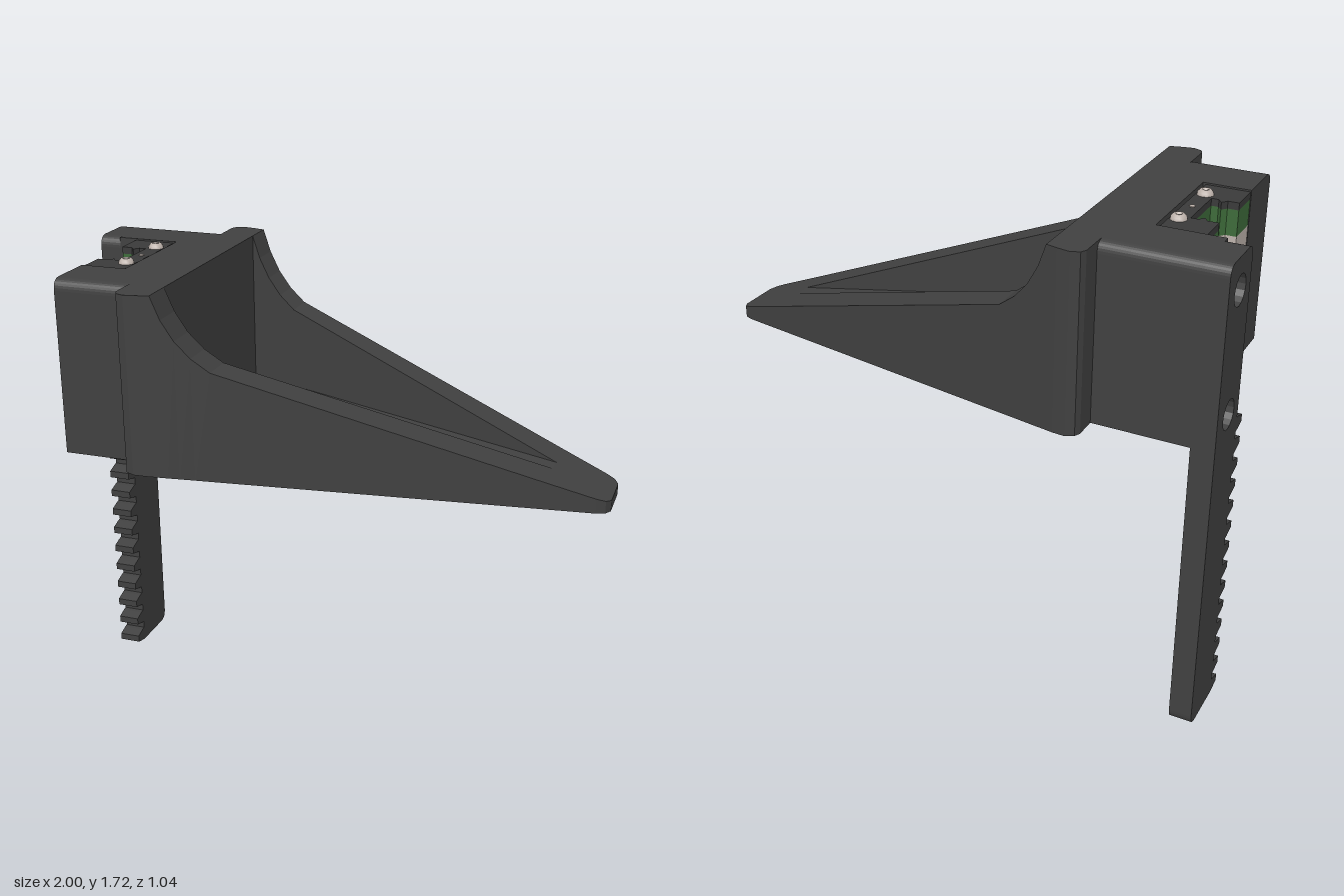
import * as THREE from 'three';

const mat = (name, color) => {
  const m = new THREE.MeshStandardMaterial({ color });
  m.name = name;
  return m;
};

const TOP = 1.705, BOTTOM = 1.085;

// Extrude a (z, y) shape along x; shapes are drawn with u = -z
function extrudeX(shape, x0, x1) {
  const g = new THREE.ExtrudeGeometry(shape, { depth: x1 - x0, bevelEnabled: false, curveSegments: 8 });
  g.rotateY(Math.PI / 2).translate(x0, 0, 0);
  return g;
}

// Extrude an (x, z) outline along y
function extrudeY(points, y0, y1) {
  const shape = new THREE.Shape(points.map(([x, z]) => new THREE.Vector2(x, -z)));
  const g = new THREE.ExtrudeGeometry(shape, { depth: y1 - y0, bevelEnabled: false });
  g.rotateX(-Math.PI / 2).translate(0, y0, 0);
  return g;
}

// Upright block section from z0 to z1 with rounded top corners
function blockShape(z0, z1, r0, r1) {
  const s = new THREE.Shape();
  s.moveTo(-z1, BOTTOM);
  s.lineTo(-z0, BOTTOM);
  s.lineTo(-z0, TOP - r0);
  if (r0) s.quadraticCurveTo(-z0, TOP, -z0 - r0, TOP);
  s.lineTo(-z1 + r1, TOP);
  if (r1) s.quadraticCurveTo(-z1, TOP, -z1, TOP - r1);
  s.closePath();
  return s;
}

// Hollow wedge lofted along x from eight-point sections
function scoopGeometry() {
  // x, half width, top, inner half width, floor (floor = top where solid)
  const stations = [
    [-0.585, 0.49, 1.705, 0.39, 1.705],
    [-0.575, 0.51, 1.705, 0.39, 1.705],
    [-0.545, 0.522, 1.705, 0.39, 1.705],
    [-0.50, 0.514, 1.705, 0.39, 1.705],
    [-0.46, 0.503, 1.705, 0.39, 1.705],
    [-0.46, 0.503, 1.705, 0.39, 1.16],
    [-0.43, 0.495, 1.625, 0.381, 1.158],
    [-0.39, 0.484, 1.555, 0.37, 1.156],
    [-0.34, 0.470, 1.497, 0.355, 1.153],
    [-0.28, 0.454, 1.45, 0.338, 1.15],
    [0.79, 0.162, 1.09, 0.03, 1.09],
    [0.955, 0.117, 1.035, 0.02, 1.035],
    [0.985, 0.102, 1.025, 0.02, 1.025],
    [1.0, 0.075, 1.02, 0.02, 1.02],
  ];
  const rings = stations.map(([x, w, t, iw, f]) => {
    const b = BOTTOM - (x + 0.585) / 1.585 * 0.105;
    return [[-w, b], [w, b], [w, t], [iw, t], [iw, f], [-iw, f], [-iw, t], [-w, t]].map(([z, y]) => [x, y, z]);
  });
  const pos = [];
  const quad = (a, b, c, d) => pos.push(...a, ...b, ...c, ...a, ...c, ...d);
  for (let i = 0; i < rings.length - 1; i++) {
    const p = rings[i], q = rings[i + 1];
    for (let j = 0; j < 8; j++) {
      const k = (j + 1) % 8;
      quad(p[j], q[j], q[k], p[k]);
    }
  }
  const s = rings[0], e = rings[rings.length - 1];
  quad(s[0], s[1], s[2], s[7]);
  quad(e[7], e[2], e[1], e[0]);
  const g = new THREE.BufferGeometry();
  g.setAttribute('position', new THREE.Float32BufferAttribute(pos, 3));
  g.computeVertexNormals();
  return g;
}

// Tall plate with gear teeth on its +z edge and two screw holes
function rackShape() {
  const s = new THREE.Shape(), back = 0.412, root = 0.21, tip = 0.157, r = 0.04;
  s.moveTo(root, 0);
  s.lineTo(back - r, 0);
  s.quadraticCurveTo(back, 0, back, r);
  s.lineTo(back, TOP - r);
  s.quadraticCurveTo(back, TOP, back - r, TOP);
  s.lineTo(root + r, TOP);
  s.quadraticCurveTo(root, TOP, root, TOP - r);
  for (let i = 13; i >= 0; i--) {
    const y = 0.026 + i * 0.0815;
    s.lineTo(root, y + 0.028);
    s.lineTo(root - 0.015, y + 0.025);
    s.lineTo(tip, y + 0.013);
    s.lineTo(tip, y - 0.013);
    s.lineTo(root - 0.015, y - 0.023);
    s.lineTo(root, y - 0.026);
  }
  for (const y of [1.17, 1.59]) {
    const h = new THREE.Path();
    h.absarc(0.305, y, 0.052, 0, Math.PI * 2, true);
    s.holes.push(h);
  }
  return s;
}

export function createModel() {
  const model = new THREE.Group();
  model.name = 'gripperFinger';
  const plastic = mat('dark plastic', 0x404040);
  const capMat = mat('end plate black', 0x3a3a3a);
  const green = mat('green plastic', 0x3e6b3a);
  const steel = mat('steel', 0xbeb3ac);

  const add = (name, geometry, material, parent = model) => {
    const m = new THREE.Mesh(geometry, material);
    m.name = name;
    parent.add(m);
    return m;
  };

  add('scoop', scoopGeometry(), plastic);

  // Mount block with an arm on each side of the carriage
  add('mountBlock', extrudeX(blockShape(-0.412, 0.412, 0.04, 0.04), -0.69, -0.57), plastic);
  add('leftArm', extrudeX(blockShape(0.21, 0.412, 0, 0.04), -0.855, -0.69), plastic);
  add('rightArm', extrudeX(blockShape(-0.412, -0.21, 0.04, 0), -0.92, -0.69), plastic);
  add('toothedRack', extrudeX(rackShape(), -1, -0.92), plastic);

  // Linear carriage: steel body, green end blocks and dark end plates
  const carriage = new THREE.Group();
  carriage.name = 'carriage';
  model.add(carriage);
  const channel = (frontX, halfWidth) => {
    const half = [
      [frontX, halfWidth], [-0.853, halfWidth], [-0.853, 0.095],
      [-0.815, 0.095], [-0.80, 0.075], [-0.785, 0.095], [-0.76, 0.095],
    ];
    return [...half, ...half.map(([x, z]) => [x, -z]).reverse()];
  };
  add('carriageBody', extrudeY(channel(-0.69, 0.21), 1.195, 1.585), steel, carriage);
  for (const [y0, y1] of [[1.11, 1.195], [1.585, 1.675]])
    add('endBlock', extrudeY(channel(-0.7, 0.208), y0, y1), green, carriage);
  for (const [y0, y1] of [[1.09, 1.11], [1.675, 1.7]])
    add('endPlate', extrudeY(channel(-0.7, 0.208), y0, y1), capMat, carriage);

  // Socketed screws and a grease port on both ends
  const profile = [[0.028, 0], [0.026, 0.009], [0.018, 0.018], [0.011, 0.019], [0.008, 0.007], [0, 0.006]];
  const screw = new THREE.LatheGeometry(profile.map(([r, y]) => new THREE.Vector2(r, y)), 14);
  const port = new THREE.CylinderGeometry(0.01, 0.01, 0.004, 10);
  for (const [y, flip] of [[1.7, 0], [1.09, Math.PI]]) {
    for (const z of [-0.12, 0.12]) {
      const s = add('screw', screw, steel, carriage);
      s.position.set(-0.73, y, z);
      s.rotation.x = flip;
    }
    add('greasePort', port, steel, carriage).position.set(-0.73, y, 0);
  }
  return model;
}
